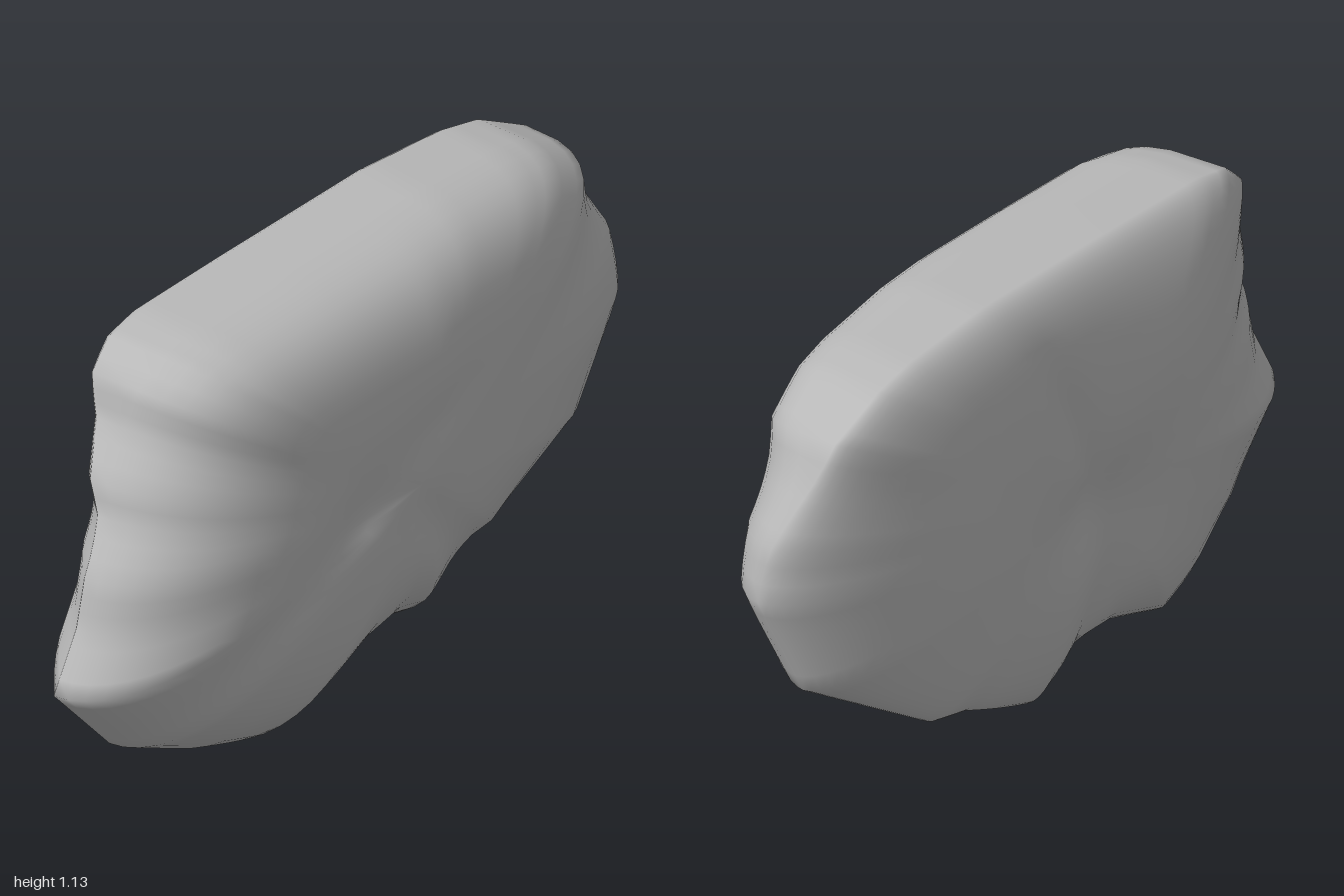
import * as THREE from 'three';

// Rim of the slab seen from the front, counter-clockwise
const RIM = [
  [1.0, 0.63], [0.98, 0.77], [0.89, 0.92], [0.85, 1.01], [0.7, 1.085], [0.58, 1.11], [0.3, 1.13],
  [-0.2, 1.12], [-0.52, 1.11], [-0.63, 1.09], [-0.7, 1.03], [-0.72, 0.93], [-0.8, 0.82],
  [-0.81, 0.74], [-0.89, 0.62], [-0.92, 0.5], [-1.0, 0.36], [-0.8, 0.15], [-0.6, 0.06],
  [-0.43, 0.0], [-0.2, 0.08], [0.0, 0.09], [0.15, 0.04], [0.42, 0.145], [0.53, 0.16],
  [0.89, 0.37],
];
const CENTRE_Y = 0.58, STEP = 0.05, RINGS = 16;
const { smoothstep } = THREE.MathUtils;

// Soft elongated bump centred on (cx, cy), long axis turned by angle
function bump(x, y, cx, cy, long, wide, angle = 0) {
  const c = Math.cos(angle), s = Math.sin(angle), dx = x - cx, dy = y - cy;
  return Math.exp(-(((dx * c + dy * s) / long) ** 2) - ((dy * c - dx * s) / wide) ** 2);
}

// The rim leans back along the top and under the lower right chamfer
const chamfer = (x, y) => bump(x, y, 0.36, 0.14, 0.6, 0.3, 0.4);
const rimZ = (x, y) => -0.14 * smoothstep(y, 0.6, 1.1) - 0.17 * chamfer(x, y);

// How gradually each face rounds over into the rim
const frontSoftness = (x, y) => 0.5 - 0.25 * smoothstep(y, 0.8, 1.1) + 0.38 * chamfer(x, y);
const backSoftness = (x) => 0.55 + 0.5 * smoothstep(-x, 0.5, 0.9);

// Broad front face with a small pit and shallow creases
function frontZ(x, y) {
  return 0.275 - 0.1 * Math.max(0, x - 0.1)
    - 0.02 * bump(x, y, -0.2, 0.58, 0.09, 0.06, 0.5)
    - 0.018 * bump(x, y, 0.08, 0.42, 0.25, 0.07, -0.8)
    - 0.015 * bump(x, y, -0.5, 0.42, 0.3, 0.07, 0.55)
    - 0.012 * bump(x, y, 0.0, 0.7, 0.18, 0.05, 0.3);
}

// Broad back face with a swelling either side of a branching hollow
function backZ(x, y) {
  return -0.245 + 0.06 * Math.max(0, x - 0.5)
    - 0.025 * bump(x, y, -0.35, 0.75, 0.3, 0.25)
    - 0.012 * bump(x, y, 0.45, 0.6, 0.25, 0.25)
    + 0.035 * bump(x, y, 0.0, 0.5, 0.16, 0.12)
    + 0.035 * bump(x, y, -0.1, 0.28, 0.28, 0.09, 1.9)
    + 0.02 * bump(x, y, 0.08, 0.76, 0.2, 0.06, 1.2);
}

function slabGeometry() {
  // Subdivide the rim along its straight edges
  const rim = [], pos = [], index = [];
  RIM.forEach(([ax, ay], i) => {
    const [bx, by] = RIM[(i + 1) % RIM.length];
    const parts = Math.ceil(Math.hypot(bx - ax, by - ay) / STEP);
    for (let k = 0; k < parts; k++) rim.push([ax + ((bx - ax) * k) / parts, ay + ((by - ay) * k) / parts]);
  });
  const n = rim.length;
  rim.forEach(([x, y]) => pos.push(x, y, rimZ(x, y)));

  // Each face is a stack of shrinking rings sharing the rim
  const addFace = (surface, softness, front) => {
    const tri = (a, b, c) => (front ? index.push(a, b, c) : index.push(a, c, b));
    let outer = 0;
    for (let r = 1; r < RINGS; r++) {
      const s = Math.sin(((1 - r / RINGS) * Math.PI) / 2);
      const inner = pos.length / 3;
      for (const [px, py] of rim) {
        const x = px * s, y = CENTRE_Y + (py - CENTRE_Y) * s;
        const rise = Math.pow(1 - s ** 4, softness(px, py));
        pos.push(x, y, THREE.MathUtils.lerp(rimZ(px, py), surface(x, y), rise));
      }
      for (let i = 0; i < n; i++) {
        const j = (i + 1) % n;
        tri(outer + i, outer + j, inner + j);
        tri(outer + i, inner + j, inner + i);
      }
      outer = inner;
    }
    const tip = pos.length / 3;
    pos.push(0, CENTRE_Y, surface(0, CENTRE_Y));
    for (let i = 0; i < n; i++) tri(outer + i, outer + ((i + 1) % n), tip);
  };
  addFace(frontZ, frontSoftness, true);
  addFace(backZ, backSoftness, false);

  const geometry = new THREE.BufferGeometry();
  geometry.setAttribute('position', new THREE.Float32BufferAttribute(pos, 3));
  geometry.setIndex(index);
  geometry.computeVertexNormals();
  return geometry;
}

export function createModel() {
  const stone = new THREE.MeshStandardMaterial({ color: 0xb8b8b8 });
  stone.name = 'stone grey';
  const rock = new THREE.Mesh(slabGeometry(), stone);
  rock.name = 'rock';
  const model = new THREE.Group();
  model.name = 'rockSlab';
  model.add(rock);
  return model;
}
